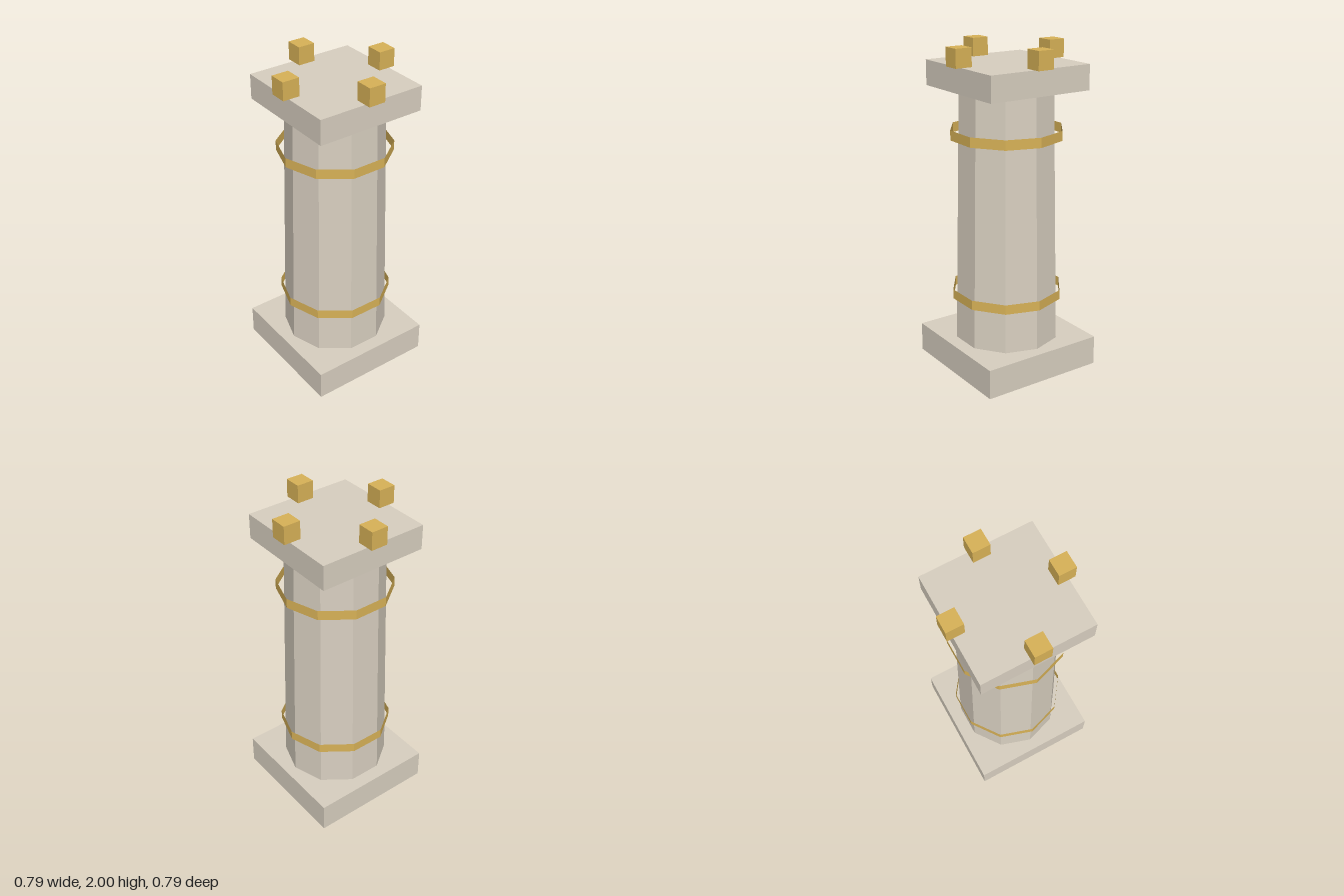
import * as THREE from 'three';

export function createModel() {
  const stone = new THREE.MeshStandardMaterial({ color: 0xd8cfc0 });
  stone.name = 'pale stone';
  stone.flatShading = true;
  const gold = new THREE.MeshStandardMaterial({ color: 0xd8b257 });
  gold.name = 'gold';
  gold.flatShading = true;
  gold.side = THREE.DoubleSide; // the bands are open hoops

  const SIDES = 10;
  const tower = new THREE.Group();
  tower.name = 'tower';

  // Adds a mesh whose underside sits at height y
  const add = (name, geometry, material, height, x, y, z) => {
    const mesh = new THREE.Mesh(geometry, material);
    mesh.name = name;
    mesh.position.set(x, y + height / 2, z);
    tower.add(mesh);
  };

  // Square base, tapered ten-sided shaft and square cap
  add('base', new THREE.BoxGeometry(0.787, 0.184, 0.787), stone, 0.184, 0, 0, 0);
  add('shaft', new THREE.CylinderGeometry(0.289, 0.325, 1.554, SIDES), stone, 1.554, 0, 0.184, 0);
  add('cap', new THREE.BoxGeometry(0.682, 0.152, 0.682), stone, 0.152, 0, 1.738, 0);

  // Loose hoops around the shaft
  [['lowerBand', 0.446], ['upperBand', 1.446]].forEach(([name, y]) =>
    add(name, new THREE.CylinderGeometry(0.343, 0.343, 0.06, SIDES, 1, true), gold, 0.06, 0, y, 0));

  // One battlement block at the middle of each cap edge
  const edges = { front: [0, 1], back: [0, -1], left: [1, 0], right: [-1, 0] };
  for (const [side, [x, z]] of Object.entries(edges))
    add(side + 'Battlement', new THREE.BoxGeometry(0.105, 0.11, 0.105), gold, 0.11, x * 0.326, 1.89, z * 0.326);

  return tower;
}
